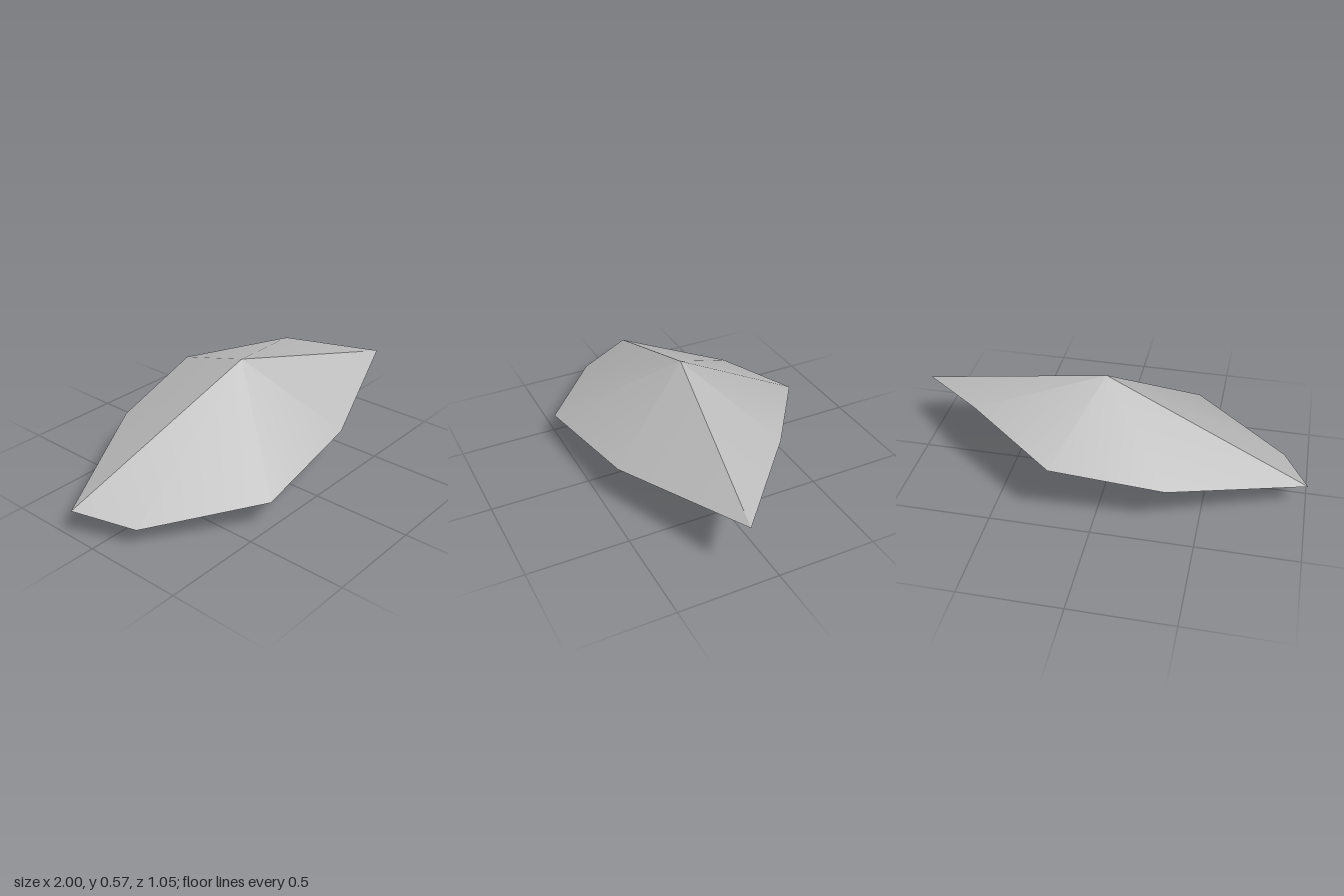
import * as THREE from 'three';
import { toCreasedNormals } from 'three/addons/utils/BufferGeometryUtils.js';

// Irregular eight-sided rim, clockwise from above
const RIM = [
  [-1, 0.145, -0.125], [-0.35, 0.265, -0.45], [0.185, 0.37, -0.53], [0.635, 0.43, -0.2],
  [1, 0.333, 0.16], [0.26, 0.23, 0.445], [-0.39, 0.165, 0.525], [-0.875, 0.105, 0.16],
];
const PEAK = [0.02, 0.572, 0];
const BASE = [-0.19, 0, 0.083];

// Fan of triangles from an apex to the rim, with only the strong ridges kept sharp
function fan(apex, up) {
  const points = [];
  RIM.forEach((a, i) => {
    const b = RIM[(i + 1) % RIM.length];
    points.push(...apex, ...(up ? b : a), ...(up ? a : b));
  });
  const geometry = new THREE.BufferGeometry();
  geometry.setAttribute('position', new THREE.Float32BufferAttribute(points, 3));
  return toCreasedNormals(geometry, THREE.MathUtils.degToRad(30));
}

export function createModel() {
  const model = new THREE.Group();
  model.name = 'rock';
  const stone = new THREE.MeshStandardMaterial({ color: 0xbcbcbc });
  stone.name = 'stone grey';

  const upper = new THREE.Mesh(fan(PEAK, true), stone);
  upper.name = 'upperFacets';
  const lower = new THREE.Mesh(fan(BASE, false), stone);
  lower.name = 'lowerFacets';
  model.add(upper, lower);
  return model;
}
